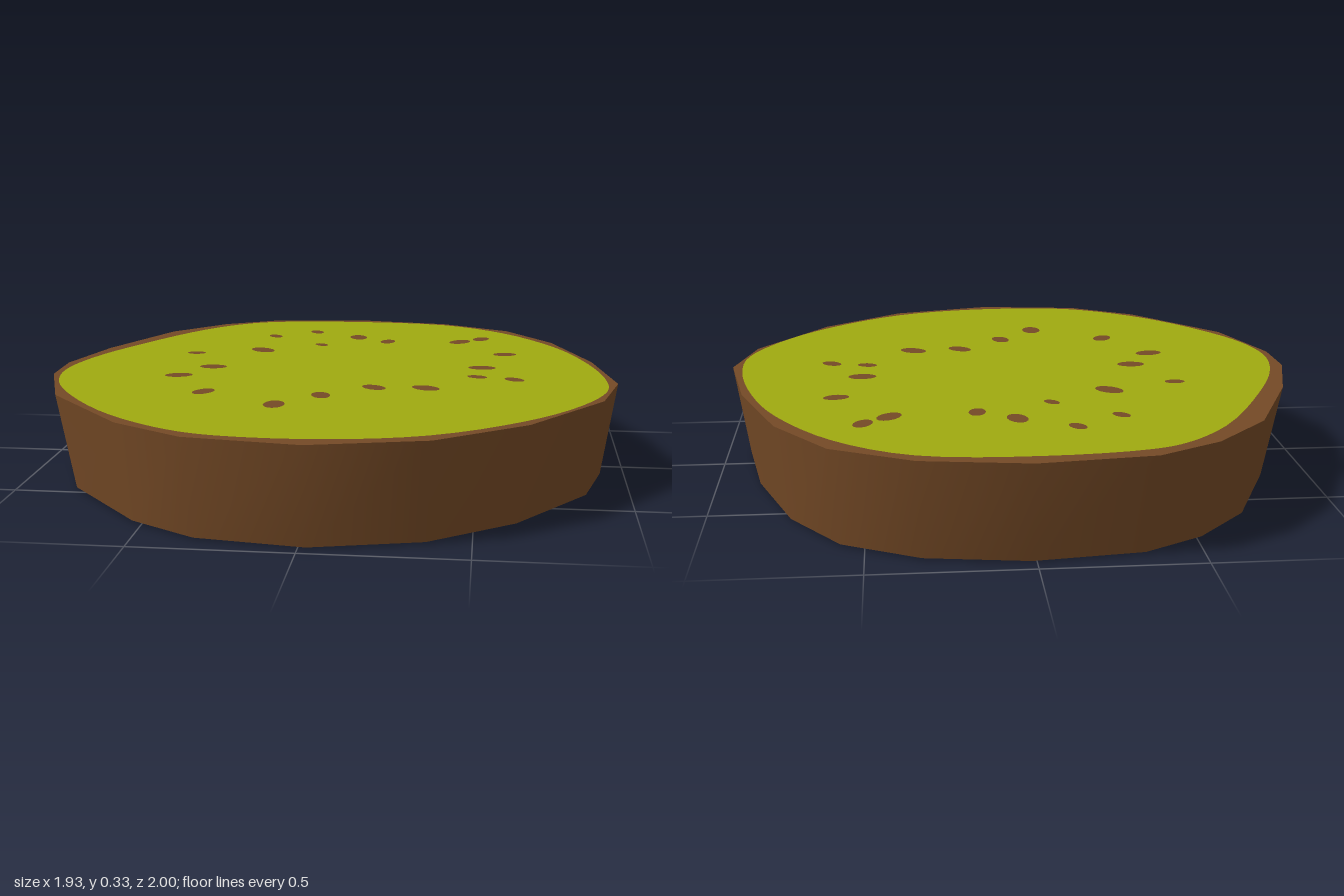
import * as THREE from 'three';

const skin = new THREE.MeshStandardMaterial({ color: 0x754a26 });
skin.name = 'brownSkin';
const flesh = new THREE.MeshStandardMaterial({ color: 0x9faa10 });
flesh.name = 'greenFlesh';

// Outlines as [x, z], clockwise seen from above
const RIM = [[0.01, -1], [0.345, -0.95], [0.6, -0.82], [0.77, -0.59], [0.9, -0.24], [0.965, 0.11], [0.9, 0.37],
  [0.66, 0.7], [0.38, 0.91], [0.02, 1], [-0.34, 0.95], [-0.57, 0.81], [-0.855, 0.48], [-0.96, 0.17],
  [-0.965, -0.02], [-0.89, -0.3], [-0.73, -0.66], [-0.55, -0.85], [-0.35, -0.96]];
const FLESH = [[-0.02, -0.945], [0.345, -0.91], [0.585, -0.755], [0.77, -0.5], [0.865, -0.26], [0.925, 0.03],
  [0.92, 0.24], [0.82, 0.46], [0.64, 0.675], [0.37, 0.865], [0.08, 0.94], [-0.235, 0.935], [-0.39, 0.885],
  [-0.605, 0.73], [-0.79, 0.505], [-0.9, 0.3], [-0.935, 0.11], [-0.9, -0.1], [-0.79, -0.37], [-0.6, -0.71],
  [-0.45, -0.86], [-0.34, -0.91]];

// Seeds as [x, z, half length, turn in degrees]
const TOP_SEEDS = [[-0.3, -0.58, 0.033, -50], [-0.15, -0.685, 0.035, -60], [0.025, -0.59, 0.047, -75],
  [0.145, -0.515, 0.04, 80], [-0.1, -0.425, 0.03, -50], [-0.305, -0.3, 0.052, -42], [-0.54, -0.22, 0.034, 0],
  [-0.43, 0.015, 0.048, 0], [-0.52, 0.165, 0.048, 15], [-0.385, 0.4, 0.045, 60], [0, 0.41, 0.045, -75],
  [-0.13, 0.55, 0.05, 90], [0.16, 0.28, 0.046, -40], [0.33, 0.27, 0.05, -30], [0.495, 0.08, 0.035, -20],
  [0.62, 0.11, 0.038, -40], [0.51, -0.07, 0.048, 0], [0.59, -0.315, 0.043, 10], [0.42, -0.54, 0.048, 50],
  [0.5, -0.605, 0.042, 65]];
const BOTTOM_SEEDS = [[-0.49, -0.51], [-0.44, -0.44], [-0.585, -0.205], [-0.21, -0.445], [0.01, -0.48],
  [-0.41, -0.06], [-0.48, 0.07], [-0.55, 0.25], [0.1, -0.37], [-0.28, 0.27], [0.32, -0.29], [0.47, -0.27],
  [0.3, -0.1], [-0.26, 0.44], [0.45, 0.05], [0.12, 0.41], [0, 0.49], [-0.02, 0.6], [0.555, 0.175],
  [0.35, 0.38]].map(([x, z], i) => [x, z, i === 7 ? 0.022 : 0.042, THREE.MathUtils.radToDeg(Math.atan2(z, x))]);

const shrink = points => points.map(([x, z]) => [x * 0.945 + 0.006, z * 0.96 + 0.005]);

function smooth(points) {
  const curve = new THREE.CatmullRomCurve3(points.map(([x, z]) => new THREE.Vector3(x, 0, z)), true);
  return curve.getPoints(88).slice(0, -1).map(p => [p.x, p.z]);
}

// Flat face at height y, turned up or down
function face(name, points, y, up, material) {
  const shape = new THREE.Shape(points.map(([x, z]) => new THREE.Vector2(x, up ? -z : z)));
  const geometry = new THREE.ShapeGeometry(shape).rotateX(up ? -Math.PI / 2 : Math.PI / 2);
  const mesh = new THREE.Mesh(geometry, material);
  mesh.name = name;
  mesh.position.y = y;
  return mesh;
}

// Tapered side wall between two outlines
function wall(top, bottom, yTop, yBottom) {
  const positions = [], index = [], n = top.length;
  for (let i = 0; i < n; i++) {
    positions.push(top[i][0], yTop, top[i][1], bottom[i][0], yBottom, bottom[i][1]);
    const a = 2 * i, b = 2 * ((i + 1) % n);
    index.push(a, b, b + 1, a, b + 1, a + 1);
  }
  const geometry = new THREE.BufferGeometry();
  geometry.setAttribute('position', new THREE.Float32BufferAttribute(positions, 3));
  geometry.setIndex(index);
  geometry.computeVertexNormals();
  const mesh = new THREE.Mesh(geometry, skin);
  mesh.name = 'skinWall';
  return mesh;
}

function seeds(name, list, y, up) {
  const group = new THREE.Group();
  group.name = name;
  for (const [x, z, half, degrees] of list) {
    const geometry = new THREE.CircleGeometry(1, 14).scale(half, half * 0.68, 1)
      .rotateZ(THREE.MathUtils.degToRad(degrees)).rotateX(up ? -Math.PI / 2 : Math.PI / 2);
    const seed = new THREE.Mesh(geometry, skin);
    seed.name = 'seed';
    seed.position.set(x, y, z);
    group.add(seed);
  }
  return group;
}

export function createModel() {
  const slice = new THREE.Group();
  slice.name = 'fruitSlice';
  const lowRim = shrink(RIM);
  const cut = smooth(FLESH);

  // Skin
  slice.add(wall(RIM, lowRim, 0.32, 0.006));
  slice.add(face('topRim', RIM, 0.32, true, skin));
  slice.add(face('bottomRim', lowRim, 0.006, false, skin));

  // Cut faces
  slice.add(face('topFlesh', cut, 0.323, true, flesh));
  slice.add(face('bottomFlesh', shrink(cut), 0.003, false, flesh));

  // Seeds
  slice.add(seeds('topSeeds', TOP_SEEDS, 0.326, true));
  slice.add(seeds('bottomSeeds', BOTTOM_SEEDS, 0, false));
  return slice;
}
